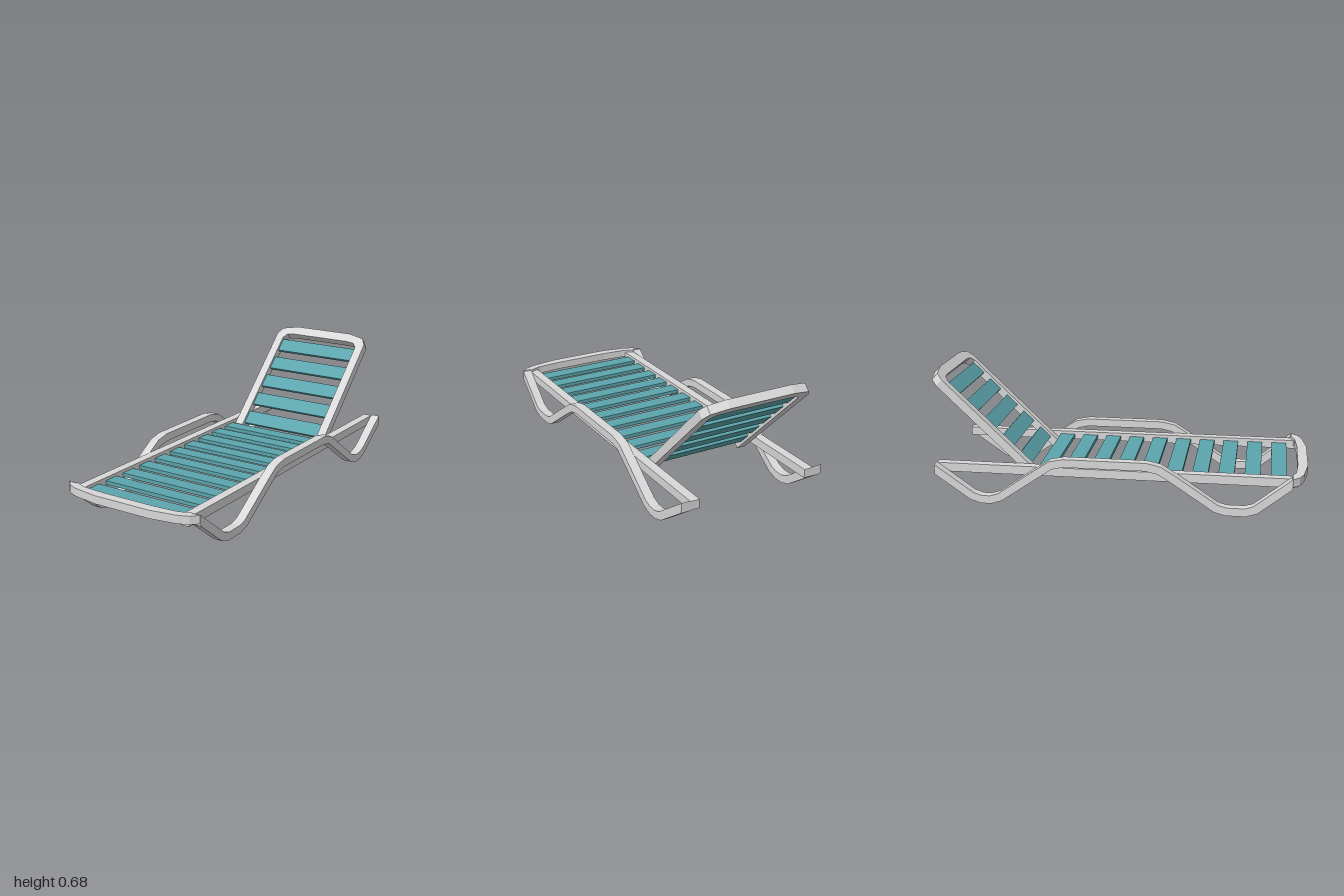
import * as THREE from 'three';

const frameMat = new THREE.MeshStandardMaterial({ color: 0xd8d8d8 });
frameMat.name = 'lightGreyFrame';
const slatMat = new THREE.MeshStandardMaterial({ color: 0x5ca5ad });
slatMat.name = 'tealSlats';

function addMesh(parent, geometry, material, name) {
  const mesh = new THREE.Mesh(geometry, material);
  mesh.name = name;
  parent.add(mesh);
  return mesh;
}

const extrude = (points, depth) => new THREE.ExtrudeGeometry(
  new THREE.Shape(points.map(([x, y]) => new THREE.Vector2(x, y))),
  { depth, bevelEnabled: false });

// Closes a left half outline with its mirror image
const mirrored = (half) => half.concat(half.map(([x, y]) => [-x, y]).reverse());

// Outline of a bent strip along a (z, y) centre line, mitred at bends, cut upright at the ends
function stripOutline(line, thickness) {
  const upper = [], lower = [];
  line.forEach(([z, y], i) => {
    const p = new THREE.Vector2(z, y);
    const dirTo = (j) => new THREE.Vector2(...line[j]).sub(p).normalize();
    let offset;
    if (i === 0 || i === line.length - 1) {
      const d = dirTo(i === 0 ? 1 : i - 1);
      offset = new THREE.Vector2(0, thickness / 2 / Math.abs(d.x));
    } else {
      const a = dirTo(i - 1).negate(), b = dirTo(i + 1);
      const na = new THREE.Vector2(a.y, -a.x), nb = new THREE.Vector2(b.y, -b.x);
      offset = na.clone().add(nb).normalize();
      offset.multiplyScalar(thickness / 2 / offset.dot(na));
      if (offset.y < 0) offset.negate();
    }
    upper.push([z + offset.x, y + offset.y]);
    lower.unshift([z - offset.x, y - offset.y]);
  });
  return upper.concat(lower);
}

export function createModel() {
  const model = new THREE.Group();
  model.name = 'sunLounger';

  // Wavy side strips forming the legs and armrests
  const legLine = [
    [0.92, 0.187], [0.735, 0.038], [0.685, 0.022], [0.585, 0.022], [0.535, 0.036],
    [0.315, 0.182], [0.24, 0.228], [0.17, 0.243], [-0.26, 0.243], [-0.33, 0.228],
    [-0.4, 0.18], [-0.605, 0.038], [-0.655, 0.022], [-0.705, 0.022], [-0.755, 0.038],
    [-0.955, 0.178],
  ];
  for (const side of [1, -1]) {
    const label = side > 0 ? 'left' : 'right';
    const leg = extrude(stripOutline(legLine, 0.043), 0.05);
    leg.rotateY(-Math.PI / 2);
    leg.translate(side * 0.379 + 0.025, 0, 0);
    addMesh(model, leg, frameMat, label + 'LegStrip');

    // Straight seat rail
    addMesh(model, new THREE.BoxGeometry(0.05, 0.047, 1.9), frameMat, label + 'SeatRail')
      .position.set(side * 0.329, 0.1765, -0.005);
  }

  // Curved bar across the foot end
  const bow = extrude(mirrored([
    [-0.16, 0.947], [-0.29, 0.937], [-0.345, 0.915], [-0.404, 0.915],
    [-0.367, 0.955], [-0.31, 0.977], [-0.165, 1.0],
  ].reverse()), 0.043);
  bow.rotateX(Math.PI / 2);
  bow.translate(0, 0.213, 0);
  addMesh(model, bow, frameMat, 'footBar');

  // Seat slats
  for (let i = 0; i < 10; i++) {
    addMesh(model, new THREE.BoxGeometry(0.61, 0.02, 0.083), slatMat, 'seatSlat')
      .position.set(0, 0.173, 0.85 - i * 0.136);
  }

  // Reclined backrest: U-shaped frame with slats
  const backrest = new THREE.Group();
  backrest.name = 'backrest';
  backrest.position.set(0, 0.145, -0.41);
  backrest.rotation.x = -0.805;
  model.add(backrest);

  const backFrame = extrude(mirrored([
    [-0.18, 0.776], [-0.275, 0.754], [-0.3, 0.713], [-0.3, 0],
    [-0.25, 0], [-0.25, 0.685], [-0.228, 0.714], [-0.18, 0.72],
  ]), 0.046);
  backFrame.translate(0, 0, -0.046);
  addMesh(backrest, backFrame, frameMat, 'backrestFrame');

  for (let i = 0; i < 5; i++) {
    addMesh(backrest, new THREE.BoxGeometry(0.502, 0.083, 0.018), slatMat, 'backrestSlat')
      .position.set(0, 0.64 - i * 0.1335, -0.023);
  }
  return model;
}
